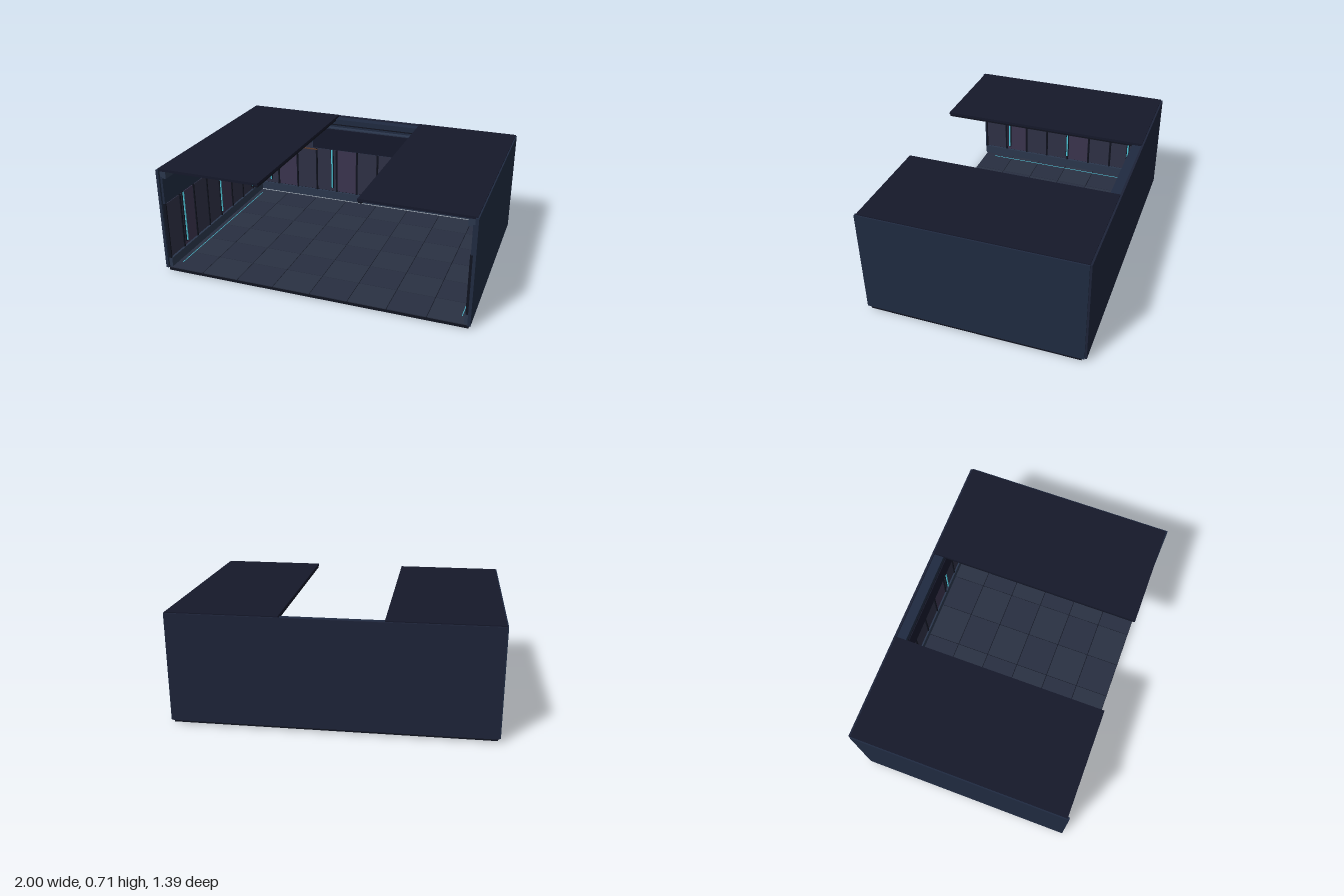
import * as THREE from 'three';

const mat = (color) => new THREE.MeshStandardMaterial({ color });
const M = {
  roof: mat(0x15182a), wall: mat(0x1f2a40), backWall: mat(0x1d2338), dark: mat(0x10131f),
  trim: mat(0x2a364c), tileA: mat(0x272e40), tileB: mat(0x2a3142),
  panelA: mat(0x2e3045), panelB: mat(0x3a344e),
  cyan: mat(0x4fc8dc), orange: mat(0x5a3a2a), lamp: mat(0x39424c),
};

// Box given by its lower and upper limits on each axis
function box(parent, name, material, [x0, x1], [y0, y1], [z0, z1]) {
  const mesh = new THREE.Mesh(new THREE.BoxGeometry(x1 - x0, y1 - y0, z1 - z0), material);
  mesh.position.set((x0 + x1) / 2, (y0 + y1) / 2, (z0 + z1) / 2);
  mesh.name = name;
  parent.add(mesh);
  return mesh;
}

// Lining of one wall, built facing +z with the wall surface at z = 0
function wallLining(name, width, count, strips) {
  const g = new THREE.Group();
  g.name = name;
  const h = width / 2, pitch = width / count;
  box(g, 'panelBacking', M.dark, [-h, h], [0.09, 0.475], [0, 0.006]);
  for (let i = 0; i < count; i++) {
    const x = -h + i * pitch;
    box(g, 'wallPanel', i % 3 === 1 ? M.panelB : M.panelA, [x + 0.008, x + pitch - 0.008], [0.095, 0.47], [0.004, 0.013]);
  }
  for (let i = 0; i <= count; i++) {
    const x = Math.min(h - 0.005, Math.max(-h + 0.005, -h + i * pitch));
    box(g, 'panelRib', M.dark, [x - 0.005, x + 0.005], [0.09, 0.475], [0.004, 0.018]);
  }
  box(g, 'baseboard', M.trim, [-h, h], [0.03, 0.09], [0, 0.022]);
  box(g, 'upperBand', M.wall, [-h, h], [0.475, 0.66], [0, 0.014]);
  for (const x of strips) {
    box(g, 'stripHolder', M.dark, [x - 0.011, x + 0.011], [0.12, 0.48], [0.01, 0.02]);
    box(g, 'lightStrip', M.cyan, [x - 0.005, x + 0.005], [0.125, 0.475], [0.018, 0.026]);
  }
  return g;
}

export function createModel() {
  const room = new THREE.Group();
  room.name = 'room';

  // Floor slab and tiles
  const floor = new THREE.Group();
  floor.name = 'floor';
  room.add(floor);
  box(floor, 'floorSlab', M.dark, [-0.985, 0.985], [0, 0.018], [-0.665, 0.68]);
  const tw = 1.97 / 8, td = 1.345 / 6;
  for (let i = 0; i < 8; i++) {
    for (let j = 0; j < 6; j++) {
      const x = -0.985 + i * tw, z = -0.665 + j * td;
      box(floor, 'floorTile', (i + j) % 2 ? M.tileA : M.tileB,
        [x + 0.002, x + tw - 0.002], [0.016, 0.023], [z + 0.002, z + td - 0.002]);
    }
  }

  // Outer walls
  box(room, 'backWall', M.backWall, [-0.99, 0.99], [0.025, 0.708], [-0.696, -0.682]);
  for (const s of [-1, 1]) {
    const x = [s * 0.98, s * 0.998].sort((a, b) => a - b);
    box(room, 'sideWall', M.wall, x, [0.025, 0.708], [-0.684, 0.696]);
  }

  // Wall linings
  const back = wallLining('backLining', 1.956, 12, [-0.88, -0.36, 0.36, 0.88]);
  back.position.z = -0.682;
  room.add(back);
  for (const s of [-1, 1]) {
    const side = wallLining('sideLining', 1.36, 8, [-0.48, 0, 0.48]);
    side.rotation.y = -s * Math.PI / 2;
    side.position.x = s * 0.98;
    room.add(side);
  }

  // Cornice along the top of the walls
  box(room, 'backCornice', M.wall, [-0.98, 0.98], [0.66, 0.698], [-0.682, -0.62]);
  box(room, 'corniceEdge', M.dark, [-0.98, 0.98], [0.655, 0.662], [-0.682, -0.616]);

  // Sign board with frame on the back wall
  const sign = new THREE.Group();
  sign.name = 'signBoard';
  room.add(sign);
  box(sign, 'signFrame', M.trim, [-0.507, 0.507], [0.448, 0.622], [-0.67, -0.635]);
  box(sign, 'signFace', M.roof, [-0.5, 0.5], [0.455, 0.615], [-0.64, -0.622]);

  for (const s of [-1, 1]) {
    const span = (a, b) => (s > 0 ? [a, b] : [-b, -a]);
    // Roof half with edge trim, rails and lamps beneath
    const roof = new THREE.Group();
    roof.name = 'roofHalf';
    room.add(roof);
    box(roof, 'roofSlab', M.roof, span(0.31, 0.99), [0.698, 0.714], [-0.684, 0.685]);
    box(roof, 'roofEdge', M.dark, span(0.312, 0.335), [0.686, 0.7], [-0.62, 0.68]);
    box(roof, 'wallRail', M.trim, span(0.94, 0.98), [0.65, 0.698], [-0.62, 0.68]);
    for (const z of [-0.4, 0, 0.4]) {
      box(roof, 'lampHousing', M.dark, span(0.42, 0.9), [0.684, 0.7], [z - 0.06, z + 0.06]);
      box(roof, 'ceilingLamp', M.lamp, span(0.44, 0.77), [0.68, 0.685], [z - 0.03, z + 0.03]);
    }
    // Small accents beside the sign and along the floor
    box(room, 'signAccent', M.orange, span(0.48, 0.6), [0.422, 0.428], [-0.67, -0.655]);
    box(room, 'floorLight', M.cyan, span(0.93, 0.934), [0.022, 0.025], [-0.6, 0.6]);
  }
  return room;
}
